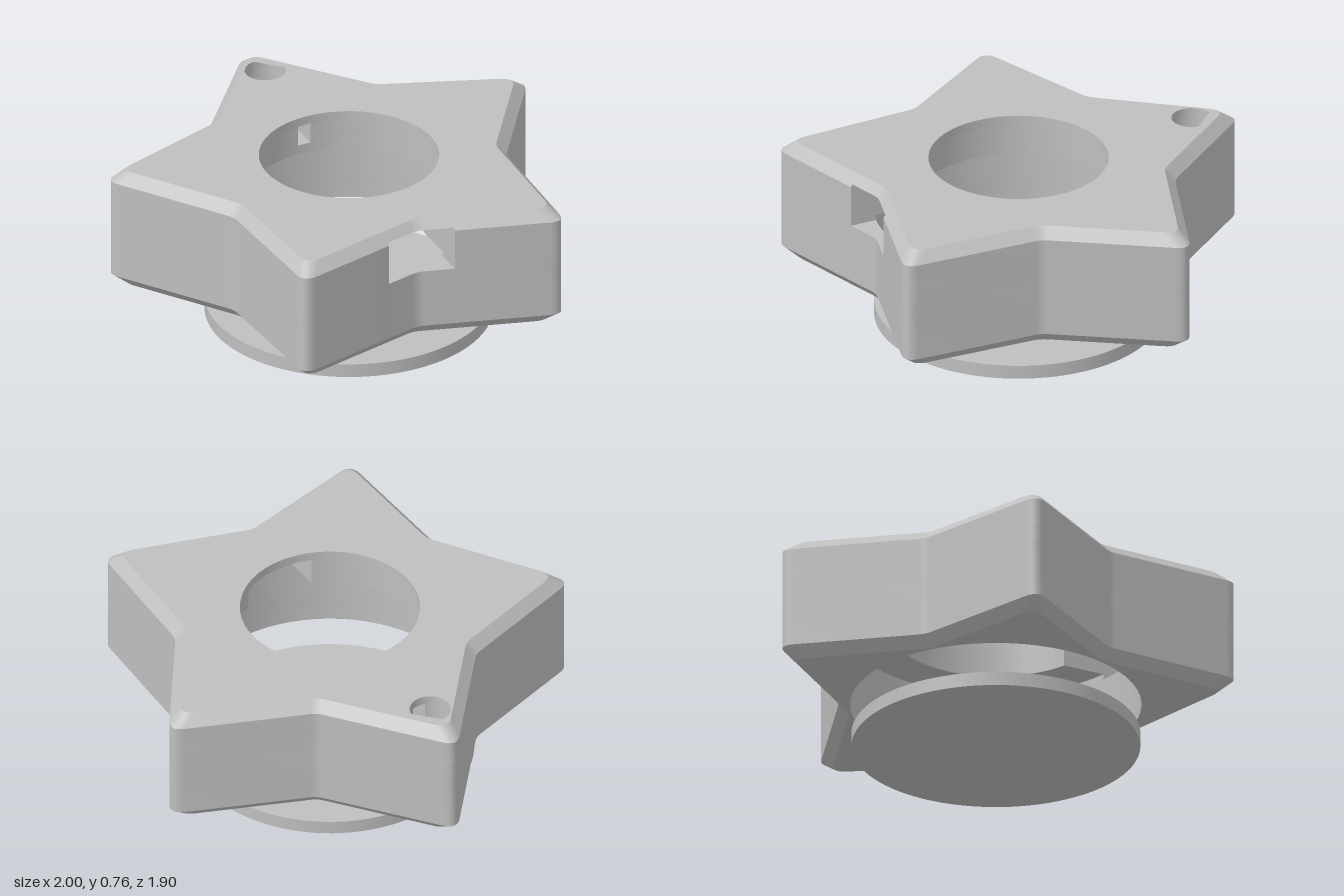
import * as THREE from 'three';
import { toCreasedNormals } from 'three/addons/utils/BufferGeometryUtils.js';

const CZ = 0.095;        // z of the star and disc centre
const PORT = 0.16;       // half width of the front port
const SLOT = 0.03;       // half width of the channel to the rear pocket
const CHAMFER = 0.045;
const V = (x, y) => new THREE.Vector2(x, y);

// Points on an arc; plan coordinates are (x, -z)
function arc(cy, r, a0, a1, n) {
  const pts = [];
  for (let i = 0; i <= n; i++) {
    const a = a0 + (a1 - a0) * i / n;
    pts.push(V(r * Math.cos(a), cy + r * Math.sin(a)));
  }
  return pts;
}

// Rounded star inset by d, starting at the front notch.
// Point 5 and the last point lie on the two sides of the port.
function starOutline(d) {
  const corners = [];
  for (let i = 0; i < 10; i++) {
    const r = i % 2 ? 1.075 - 1.61 * d : 0.692 - 1.038 * d;
    const a = -Math.PI / 2 + i * Math.PI / 5;
    corners.push(V(r * Math.cos(a), -CZ + r * Math.sin(a)));
  }
  const pts = [];
  corners.forEach((p, i) => {
    const toward = (q) => p.clone().add(q.clone().sub(p).setLength(i % 2 ? 0.07 : 0.03));
    const a = toward(corners[(i + 9) % 10]), b = toward(corners[(i + 1) % 10]);
    pts.push(...new THREE.QuadraticBezierCurve(a, p, b).getPoints(i % 2 ? 8 : 4));
  });
  const onEdge = (a, b, x) => a.clone().lerp(b, (x - a.x) / (b.x - a.x));
  const right = onEdge(pts[4], pts[5], PORT);
  const left = onEdge(pts[pts.length - 1], pts[0], -PORT);
  pts.splice(5, 0, right);
  pts.push(left);
  return pts;
}

// Inner edge from the left side of the port, round the back, to the right side
function cavityEdge(r, withSlot) {
  const e = Math.asin(PORT / r), h = Math.PI / 2;
  if (!withSlot) return arc(-CZ, r, -h - e, -5 * h + e, 64);
  const s = Math.asin(SLOT / r), k = Math.asin(SLOT / 0.1);
  return [
    ...arc(-CZ, r, -h - e, -3 * h + s, 32),
    ...arc(0.75, 0.1, -h - k, -5 * h + k, 32),
    ...arc(-CZ, r, -3 * h - s, -5 * h + e, 32),
  ];
}

// One horizontal layer, its outer edge sloping from inset d0 to inset d1
function layer({ y0, y1, d0 = 0, d1 = 0, holes = [], cavity }) {
  const low = starOutline(d0), high = starOutline(d1);
  const shape = new THREE.Shape(cavity ? [...low.slice(5), ...cavity] : low);
  for (const [cy, r] of holes) {
    shape.holes.push(new THREE.Path(arc(cy, r, 0, -2 * Math.PI, 72).slice(0, -1)));
  }
  const depth = y1 - y0;
  const geo = new THREE.ExtrudeGeometry(shape, { depth, bevelEnabled: false });
  const pos = geo.attributes.position;
  for (let i = 0; i < pos.count && d0 !== d1; i++) {
    if (pos.getZ(i) < depth / 2) continue;
    const j = low.findIndex((p) => Math.hypot(p.x - pos.getX(i), p.y - pos.getY(i)) < 1e-5);
    if (j >= 0) pos.setXY(i, high[j].x, high[j].y);
  }
  geo.rotateX(-Math.PI / 2);
  geo.translate(0, y0, 0);
  return toCreasedNormals(geo, 0.5);
}

export function createModel() {
  const model = new THREE.Group();
  model.name = 'starHousing';
  const grey = new THREE.MeshStandardMaterial({ color: 0xbfbfbf });
  grey.name = 'plain grey';

  const add = (parent, name, geo) => {
    const mesh = new THREE.Mesh(geo, grey);
    mesh.name = name;
    parent.add(mesh);
    return mesh;
  };

  // Star body, stacked from the bottom chamfer to the top plate
  const body = new THREE.Group();
  body.name = 'starBody';
  model.add(body);
  const WIDE = 0.635, NARROW = 0.45, cut = 0.009;
  const layers = {
    bottomChamfer: { y0: 0.2, y1: 0.25, d0: CHAMFER, holes: [[-CZ, WIDE]] },
    lowerWall: { y0: 0.25, y1: 0.52, holes: [[-CZ, WIDE]] },
    portSill: { y0: 0.52, y1: 0.545, cavity: cavityEdge(WIDE, false) },
    cavityStep: { y0: 0.545, y1: 0.59, cavity: cavityEdge(NARROW, false) },
    upperWall: { y0: 0.59, y1: 0.71, cavity: cavityEdge(NARROW, true) },
    portHead: { y0: 0.71, y1: 0.72, d1: cut, cavity: cavityEdge(NARROW, true) },
    topPlate: { y0: 0.72, y1: 0.76, d0: cut, d1: CHAMFER, holes: [[-CZ, 0.393], [0.75, 0.09]] },
  };
  for (const [name, spec] of Object.entries(layers)) add(body, name, layer(spec));

  // Loose round cover below the body
  const cover = add(model, 'bottomCover', new THREE.CylinderGeometry(0.63, 0.63, 0.063, 96));
  cover.position.set(0, 0.0315, CZ);

  return model;
}
